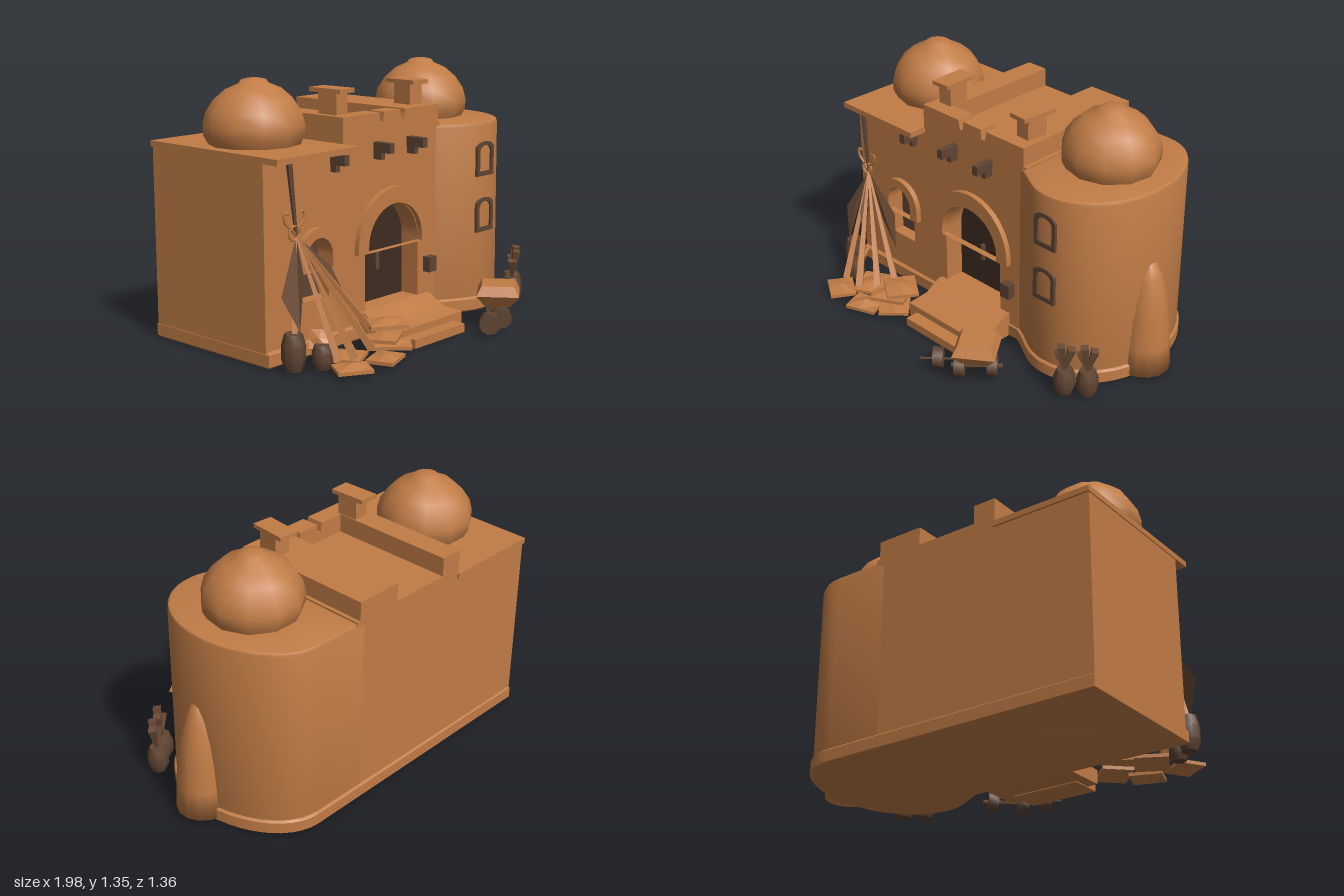
import * as THREE from 'three';
import { toCreasedNormals } from 'three/addons/utils/BufferGeometryUtils.js';

const mat = (name, color, side = THREE.FrontSide) => {
  const m = new THREE.MeshStandardMaterial({ color, side });
  m.name = name;
  return m;
};

export function createModel() {
  const model = new THREE.Group();
  const clay = mat('clay', 0xc17c46);
  const wood = mat('darkWood', 0x5f4432);
  const shade = mat('doorBrown', 0x3d2c21);
  const cloth = mat('darkCloth', 0x6b4b35, THREE.DoubleSide);

  const V = (x, y, z) => new THREE.Vector3(x, y, z);
  const add = (name, geo, material, x = 0, y = 0, z = 0, ry = 0, parent = model) => {
    const m = new THREE.Mesh(geo, material);
    m.name = name;
    m.position.set(x, y, z);
    m.rotation.y = ry;
    parent.add(m);
    return m;
  };
  // box given by its limits on each axis
  const box = (name, material, x0, x1, y0, y1, z0, z1, ry = 0) =>
    add(name, new THREE.BoxGeometry(x1 - x0, y1 - y0, z1 - z0), material,
      (x0 + x1) / 2, (y0 + y1) / 2, (z0 + z1) / 2, ry);
  const extrude = (shape, depth, opts = {}) => toCreasedNormals(
    new THREE.ExtrudeGeometry(shape, { depth, bevelEnabled: false, curveSegments: 12, ...opts }), 0.7);
  const lathe = (pts, n) => new THREE.LatheGeometry(pts.map(p => new THREE.Vector2(...p)), n);
  // round or square bar between two points
  const rod = (name, material, a, b, r0, r1, sides = 6) => {
    const geo = toCreasedNormals(new THREE.CylinderGeometry(r1, r0, a.distanceTo(b), sides), 0.9);
    const m = add(name, geo, material);
    m.position.copy(a).lerp(b, 0.5);
    m.quaternion.setFromUnitVectors(V(0, 1, 0), b.clone().sub(a).normalize());
    return m;
  };
  // arched opening: centre x, half width, sill and spring heights
  const arch = (P, cx, hw, sill, spring, rise = hw) => {
    const p = new P();
    p.moveTo(cx - hw, sill);
    p.lineTo(cx + hw, sill);
    p.lineTo(cx + hw, spring);
    p.absellipse(cx, spring, hw, rise, 0, Math.PI, false);
    p.lineTo(cx - hw, sill);
    return p;
  };

  // footprint of the rounded tower, drawn with shape y = -z
  const roundSide = s => {
    s.lineTo(0.56, 0.67);
    s.bezierCurveTo(0.76, 0.67, 0.89, 0.42, 0.89, 0.2);
    s.bezierCurveTo(0.89, -0.05, 0.74, -0.235, 0.54, -0.235);
    s.bezierCurveTo(0.42, -0.235, 0.36, -0.16, 0.25, -0.115);
  };
  const tower = new THREE.Shape();
  tower.moveTo(0.25, 0.67);
  roundSide(tower);
  add('roundTower', extrude(tower, 0.99, {
    bevelEnabled: true, bevelSize: 0.015, bevelThickness: 0.02, bevelOffset: -0.015, bevelSegments: 2
  }).rotateX(-Math.PI / 2), clay, 0, 0.02, 0);

  const base = new THREE.Shape();
  base.moveTo(-0.97, 0.665);
  roundSide(base);
  base.lineTo(-0.97, -0.13);
  add('baseSkirt', extrude(base, 0.06, {
    bevelEnabled: true, bevelSize: 0.012, bevelThickness: 0.01, bevelSegments: 1
  }).rotateX(-Math.PI / 2), clay, 0, 0.01, 0);

  // main block and front wall with door and window openings
  box('mainBlock', clay, -0.98, 0.3, 0.01, 1.0, -0.67, 0);
  const wall = new THREE.Shape();
  wall.moveTo(-0.98, 0.01);
  wall.lineTo(0.3, 0.01);
  wall.lineTo(0.3, 1.0);
  wall.lineTo(-0.98, 1.0);
  wall.holes.push(arch(THREE.Path, -0.085, 0.205, 0.14, 0.45, 0.22));
  wall.holes.push(arch(THREE.Path, -0.64, 0.09, 0.27, 0.48, 0.1));
  add('frontWall', extrude(wall, 0.12), clay);
  add('doorPanel', extrude(arch(THREE.Shape, -0.085, 0.205, 0.14, 0.45, 0.22), 0.008), shade, 0, 0, 0.002);
  add('windowPanel', extrude(arch(THREE.Shape, -0.64, 0.09, 0.27, 0.48, 0.1), 0.008), wood, 0, 0, 0.04);
  rod('doorHandle', wood, V(-0.1, 0.31, 0.03), V(-0.1, 0.4, 0.03), 0.014, 0.014);

  // raised arch trims
  const trim = (name, cx, spring, r, rise, inner, innerRise, drop) => {
    const s = arch(THREE.Shape, cx, r, spring - drop, spring, rise);
    s.holes.push(arch(THREE.Path, cx, inner, spring - drop + 0.0005, spring, innerRise));
    add(name, extrude(s, 0.035), clay, 0, 0, 0.115);
  };
  trim('doorArch', -0.085, 0.47, 0.28, 0.285, 0.205, 0.2, 0.03);
  trim('windowArch', -0.64, 0.48, 0.145, 0.15, 0.09, 0.1, 0.06);

  // roofs and parapet
  box('flatRoof', clay, -0.985, -0.44, 0.98, 1.01, -0.68, 0.22);
  box('middleRoof', clay, -0.44, 0.3, 0.99, 1.04, -0.67, 0.12);
  box('roofRidgeRight', clay, -0.445, -0.32, 1.0, 1.14, -0.67, 0.115);
  box('roofRidgeLeft', clay, 0.02, 0.28, 1.0, 1.14, -0.67, 0.115);
  const parapet = new THREE.Shape();
  [[-0.445, 0.98], [0.28, 0.98], [0.28, 1.14], [0.025, 1.14], [0.01, 1.09], [-0.015, 1.09], [-0.02, 1.14],
    [-0.145, 1.14], [-0.15, 1.09], [-0.172, 1.09], [-0.18, 1.14], [-0.445, 1.14]]
    .forEach(([x, y], i) => (i ? parapet.lineTo(x, y) : parapet.moveTo(x, y)));
  add('parapet', extrude(parapet, 0.1), clay, 0, 0, 0.02);

  // chimneys
  [[-0.367, 0.03], [0.2, -0.08]].forEach(([x, ry]) => {
    box('chimneyPost', clay, x - 0.042, x + 0.042, 1.13, 1.25, -0.08, 0.04, ry);
    box('chimneyCap', clay, x - 0.055, x + 0.055, 1.248, 1.27, -0.13, 0.075, ry);
  });

  // domes
  const domePts = [[0.225, 0], [0.25, 0.05], [0.253, 0.1], [0.236, 0.165], [0.195, 0.225],
    [0.14, 0.272], [0.075, 0.3], [0.062, 0.318], [0.03, 0.325], [0, 0.325]];
  [[-0.705, 1.005], [0.545, 1.02]].forEach(([x, y]) =>
    add('dome', lathe(domePts, 11), clay, x, y, -0.225));

  // tapering buttress on the tower side
  add('buttress', lathe([[0, 0], [0.138, 0], [0.13, 0.15], [0.118, 0.3], [0.1, 0.42], [0.072, 0.53],
    [0.04, 0.6], [0, 0.63]], 14), clay, 0.86, 0.02, -0.175);

  // porch with step
  const porch = new THREE.Shape();
  porch.moveTo(0.0, 0.005);
  [[0.365, 0.005], [0.365, 0.08], [0.24, 0.09], [0.15, 0.14], [0, 0.14]].forEach(p => porch.lineTo(...p));
  add('porch', extrude(porch, 0.52).rotateY(-Math.PI / 2), clay, 0.19, 0, 0);
  box('step', clay, -0.27, 0.12, 0, 0.045, 0.26, 0.44);

  // roof beams and wall box
  [[-0.207, 0.96, 0.165], [0.048, 0.96, 0.165], [-0.517, 0.935, 0.15]].forEach(([x, y, z]) => {
    add('roofBeam', new THREE.BoxGeometry(0.036, 0.05, 0.13), wood, x, y + 0.012, z);
    add('beamBracket', new THREE.BoxGeometry(0.03, 0.05, 0.05), wood, x, y - 0.025, z - 0.02);
  });
  box('wallBox', wood, 0.165, 0.225, 0.26, 0.34, 0.11, 0.165);

  // tower window frames
  [0.74, 0.435].forEach(y => {
    const f = arch(THREE.Shape, 0.54, 0.07, y, y + 0.15, 0.035);
    f.holes.push(arch(THREE.Path, 0.54, 0.048, y + 0.025, y + 0.13, 0.035));
    add('towerWindowFrame', extrude(f, 0.03), wood, 0, 0, 0.212);
  });

  // barrels, the tower pair holding bundled sheaves
  const barrel = (x, z, h, r) => add('barrel', toCreasedNormals(lathe([[0, 0], [r * 0.7, 0], [r, h * 0.3],
    [r, h * 0.7], [r * 0.75, h], [0, h]], 8), 0.8), wood, x, 0.01, z);
  barrel(-0.925, 0.25, 0.18, 0.058);
  barrel(-0.82, 0.335, 0.12, 0.05);
  [[0.735, 0.285], [0.825, 0.215]].forEach(([x, z]) => {
    barrel(x, z, 0.14, 0.056);
    [[-0.03, 0.1, 0.02], [0.035, 0.13, -0.01], [0.0, 0.15, 0.03]].forEach(([dx, h, dz]) =>
      rod('sheaf', cloth, V(x, 0.14, z), V(x + dx, 0.15 + h, z + dz), 0.008, 0.028, 4));
  });

  // tent: hanging pole, curled finial, ropes and cloth panels
  const apex = V(-0.84, 0.63, 0.19);
  rod('tentPole', wood, apex, V(-0.87, 0.98, 0.18), 0.008, 0.016);
  [-1, 1].forEach(s => {
    const curve = new THREE.CatmullRomCurve3([apex, V(-0.85 + s * 0.025, 0.67, 0.19),
      V(-0.85 + s * 0.06, 0.7, 0.19), V(-0.85 + s * 0.065, 0.745, 0.19), V(-0.85 + s * 0.035, 0.74, 0.19)]);
    add('finialCurl', new THREE.TubeGeometry(curve, 14, 0.007, 5), clay);
  });
  add('finialRing', new THREE.TorusGeometry(0.035, 0.008, 5, 12), clay, -0.85, 0.645, 0.19);
  [[-0.93, 0.12, 0.26, 0.02], [-0.8, 0.06, 0.42, 0.026], [-0.69, 0.05, 0.42, 0.028], [-0.55, 0.06, 0.4, 0.026],
    [-0.46, 0.1, 0.34, 0.024]].forEach(([x, y, z, r]) => rod('tentStrip', clay, V(x, y, z), apex, r, 0.006, 4));
  const panel = (...p) => {
    const g = new THREE.BufferGeometry().setFromPoints([p[0], p[1], p[2], p[0], p[2], p[3]]);
    g.computeVertexNormals();
    add('tentCloth', g, cloth);
  };
  panel(apex, V(-0.99, 0.37, 0.24), V(-0.92, 0.2, 0.29), V(-0.87, 0.45, 0.27));
  panel(apex, V(-0.81, 0.42, 0.29), V(-0.74, 0.25, 0.33), V(-0.77, 0.45, 0.26));
  panel(apex, V(-0.7, 0.4, 0.22), V(-0.56, 0.28, 0.25), V(-0.62, 0.45, 0.2));

  // cushions lying on the ground
  const cushion = (x, y, z, w, d, ry, h = 0.06, tilt = 0) => {
    const g = new THREE.BoxGeometry(w, h, d, 2, 1, 2);
    const p = g.attributes.position;
    for (let i = 0; i < p.count; i++) {
      if (Math.abs(p.getX(i)) > 0.01 || Math.abs(p.getZ(i)) > 0.01) p.setY(i, p.getY(i) * 0.3);
    }
    const flat = g.toNonIndexed();
    flat.computeVertexNormals();
    add('cushion', flat, clay, x, y, z, ry).rotation.z = tilt;
  };
  cushion(-0.67, 0.035, 0.33, 0.17, 0.2, 0.5);
  cushion(-0.77, 0.03, 0.48, 0.17, 0.14, -0.55);
  cushion(-0.55, 0.03, 0.49, 0.17, 0.14, 0.35);
  cushion(-0.41, 0.05, 0.4, 0.2, 0.16, -0.8);
  cushion(-0.45, 0.095, 0.39, 0.19, 0.16, 0.5);
  cushion(-0.4, 0.145, 0.36, 0.19, 0.17, -0.6);
  cushion(-0.8, 0.14, 0.3, 0.1, 0.1, 0.6, 0.05, 1.0);

  // cart: rotated hull, wheels and shaft
  const hull = new THREE.CylinderGeometry(0.155, 0.095, 0.06, 4, 1).rotateY(Math.PI / 4).toNonIndexed();
  hull.computeVertexNormals();
  add('cartBody', hull, clay, 0.33, 0.15, 0.495, 0.62);
  const load = new THREE.CylinderGeometry(0.12, 0.155, 0.05, 4, 1).rotateY(Math.PI / 4).toNonIndexed();
  load.computeVertexNormals();
  add('cartLoad', load, clay, 0.33, 0.205, 0.495, 0.62);
  const wheel = (x, z) => {
    const a = V(0.02, 0, -0.018);
    const c = V(x, 0.07, z);
    rod('wheel', wood, c.clone().sub(a), c.clone().add(a), 0.055, 0.055, 10);
  };
  wheel(0.14, 0.585);
  wheel(0.27, 0.56);
  wheel(0.385, 0.44);
  rod('axle', wood, V(0.24, 0.075, 0.59), V(0.43, 0.075, 0.41), 0.012, 0.012);
  rod('cartShaft', wood, V(0.095, 0.085, 0.67), V(0.25, 0.085, 0.53), 0.006, 0.006);
  rod('cartLeg', wood, V(0.33, 0.08, 0.5), V(0.33, 0.14, 0.5), 0.02, 0.02);

  return model;
}
